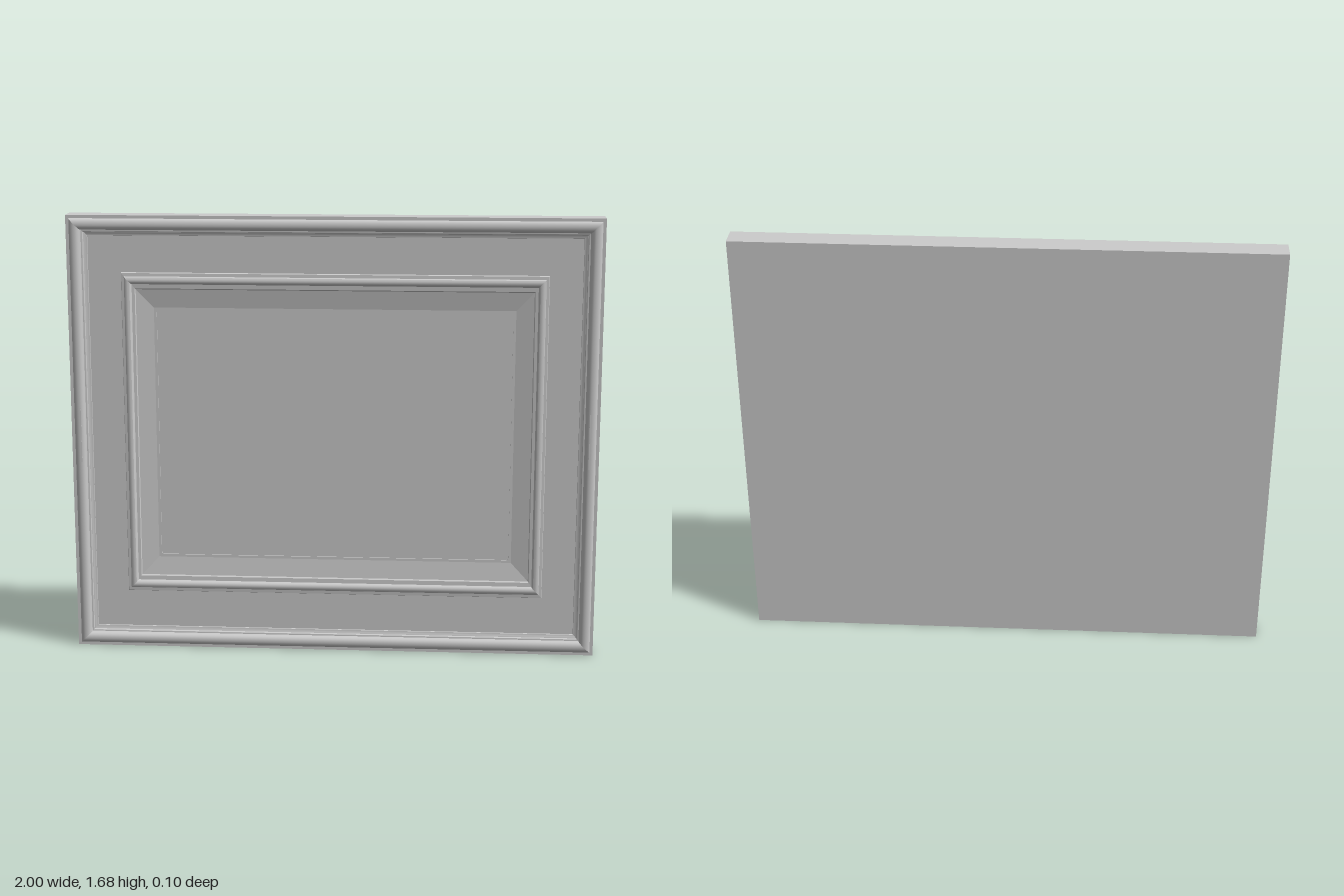
import * as THREE from 'three';
import { mergeGeometries, toCreasedNormals } from 'three/addons/utils/BufferGeometryUtils.js';

const CY = 0.84;      // middle of the outer frame
const INNER_CY = 0.8425; // middle of the inner moulding and panel

const material = new THREE.MeshStandardMaterial({ color: 0xcccccc });

// Mitred rectangular band; profile steps are [halfWidth, halfHeight, z, centreY], outside to inside
function mitredBand(name, profile) {
  const corner = ([w, h, z, cy = CY], k) => {
    const sx = k === 1 || k === 2 ? 1 : -1;
    const sy = k >= 2 ? 1 : -1;
    return [sx * w, cy + sy * h, z];
  };
  const sides = [0, 1, 2, 3].map((k) => {
    const n = (k + 1) % 4;
    const positions = [];
    for (let i = 0; i < profile.length - 1; i++) {
      const a = corner(profile[i], k), b = corner(profile[i], n);
      const c = corner(profile[i + 1], n), d = corner(profile[i + 1], k);
      positions.push(...a, ...b, ...c, ...a, ...c, ...d);
    }
    const g = new THREE.BufferGeometry();
    g.setAttribute('position', new THREE.Float32BufferAttribute(positions, 3));
    return toCreasedNormals(g, 0.6);
  });
  const mesh = new THREE.Mesh(mergeGeometries(sides), material);
  mesh.name = name;
  return mesh;
}

// Adds the same inset on both axes to a starting rectangle
const inset = (w, h, cy, steps) => steps.map(([i, z]) => [w - i, h - i, z, cy]);

function box(name, w, h, d, x, y, z) {
  const mesh = new THREE.Mesh(new THREE.BoxGeometry(w, h, d), material);
  mesh.position.set(x, y, z);
  mesh.name = name;
  return mesh;
}

function roundedRect(path, w, h, r) {
  path.moveTo(-w + r, -h);
  path.lineTo(w - r, -h);
  path.absarc(w - r, -h + r, r, -Math.PI / 2, 0);
  path.lineTo(w, h - r);
  path.absarc(w - r, h - r, r, 0, Math.PI / 2);
  path.lineTo(-w + r, h);
  path.absarc(-w + r, h - r, r, Math.PI / 2, Math.PI);
  path.lineTo(-w, -h + r);
  path.absarc(-w + r, -h + r, r, Math.PI, Math.PI * 1.5);
  return path;
}

export function createModel() {
  const group = new THREE.Group();

  // Solid back board; its front face is the sunken centre panel
  group.add(box('backBoard', 2, 1.68, 0.044, 0, CY, -0.028));

  // Square edge and rounded outer moulding
  group.add(mitredBand('outerMoulding', inset(1, 0.84, CY, [
    [0, -0.006], [0, 0.034], [0.012, 0.034], [0.013, 0.039], [0.016, 0.044],
    [0.022, 0.048], [0.03, 0.05], [0.038, 0.05], [0.045, 0.048], [0.051, 0.043],
    [0.054, 0.037], [0.055, 0.028], [0.061, 0.028], [0.063, 0.021],
    [0.068, 0.018], [0.076, 0.017], [0.077, 0.013],
  ])));

  // Flat border between the two mouldings
  group.add(mitredBand('flatBorder', [
    [0.923, 0.763, 0.013], [0.8, 0.6225, 0.013, INNER_CY],
  ]));

  // Stepped inner moulding
  group.add(mitredBand('innerMoulding', [
    [0.8, 0.6225, 0.013], [0.798, 0.62, 0.019], [0.788, 0.608, 0.02],
    [0.786, 0.605, 0.026], [0.78, 0.599, 0.029], [0.773, 0.592, 0.03],
    [0.766, 0.585, 0.028], [0.762, 0.58, 0.023], [0.76, 0.578, 0.015],
    [0.749, 0.562, 0.014], [0.746, 0.558, 0.009],
  ].map((p) => [...p, INNER_CY])));

  // Sloping surround that leads down to the centre panel
  group.add(mitredBand('panelBevel', [
    [0.746, 0.558, 0.009, INNER_CY], [0.68, 0.488, -0.001, INNER_CY],
  ]));

  // Thin lip with rounded corners around the centre panel
  const lip = roundedRect(new THREE.Shape(), 0.68, 0.488, 0.0005);
  lip.holes.push(roundedRect(new THREE.Path(), 0.67, 0.478, 0.01));
  const panelLip = new THREE.Mesh(
    new THREE.ExtrudeGeometry(lip, { depth: 0.005, bevelEnabled: false, curveSegments: 5 }), material);
  panelLip.position.set(0, INNER_CY, -0.006);
  panelLip.name = 'panelLip';
  group.add(panelLip);

  // Slim ridges at mid height of both outer uprights
  for (const s of [-1, 1]) {
    group.add(box(s > 0 ? 'leftRidge' : 'rightRidge', 0.005, 0.21, 0.01, s * 0.963, 0.845, 0.0455));
  }

  return group;
}
